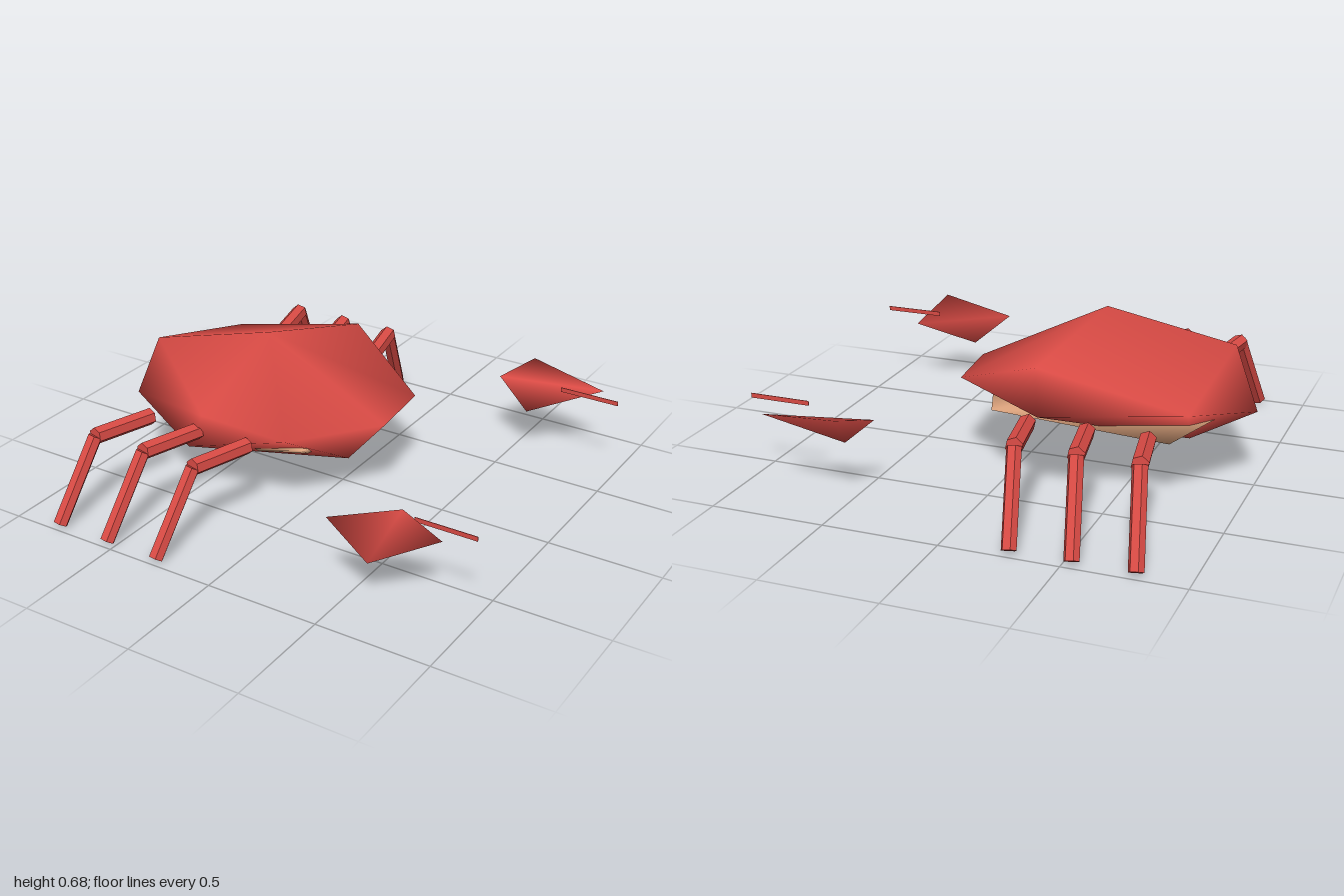
import * as THREE from 'three';
import { mergeVertices } from 'three/addons/utils/BufferGeometryUtils.js';
import { ConvexGeometry } from 'three/addons/geometries/ConvexGeometry.js';

const red = new THREE.MeshStandardMaterial({ color: 0xda4b45 });
red.name = 'shellRed';
const tan = new THREE.MeshStandardMaterial({ color: 0xdba27c });
tan.name = 'bellyTan';

const V = (p) => new THREE.Vector3(...p);

// Smooth-shaded convex lump around a few corner points
function lump(name, points, material) {
  let geo = new ConvexGeometry(points.map(V));
  geo.deleteAttribute('normal');
  geo = mergeVertices(geo, 1e-4);
  geo.computeVertexNormals();
  const mesh = new THREE.Mesh(geo, material);
  mesh.name = name;
  return mesh;
}

// Six-sided rod between two points
function rod(name, from, to, radius) {
  const a = V(from), b = V(to), dir = b.clone().sub(a);
  const geo = new THREE.CylinderGeometry(radius, radius, dir.length(), 6).toNonIndexed();
  geo.computeVertexNormals();
  const mesh = new THREE.Mesh(geo, red);
  mesh.name = name;
  mesh.position.copy(a).add(b).multiplyScalar(0.5);
  mesh.quaternion.setFromUnitVectors(new THREE.Vector3(0, 1, 0), dir.normalize());
  return mesh;
}

export function createModel() {
  const crab = new THREE.Group();
  crab.name = 'crab';

  // Faceted shell
  crab.add(lump('shell', [
    [-0.31, 0.68, 0.1], [-0.86, 0.55, 0.17], [-0.18, 0.555, -0.42],
    [-1, 0.33, 0], [-0.81, 0.42, -0.38], [-0.23, 0.39, -0.53],
    [0.24, 0.39, -0.21], [0.27, 0.39, 0.1], [0, 0.39, 0.45],
    [-0.36, 0.45, 0.53], [-0.82, 0.38, 0.38], [-0.5, 0.23, 0.45],
    [0.09, 0.18, 0.1], [-0.7, 0.145, 0.06],
  ], red));

  // Belly, breaking through the underside in patches
  crab.add(lump('belly', [
    [-0.72, 0.27, -0.33], [0.05, 0.31, -0.33], [0.13, 0.3, -0.12],
    [-0.6, 0.17, -0.05], [-0.25, 0.235, -0.15], [-0.19, 0.26, 0.37],
    [0, 0.26, 0.28], [0.02, 0.31, 0.35], [-0.84, 0.25, 0.15],
    [-0.88, 0.34, -0.12], [-0.4, 0.4, 0],
  ], tan));

  // Three jointed legs on each side
  for (const side of [1, -1]) {
    for (let i = 0; i < 3; i++) {
      const x = i * 0.253;
      const leg = new THREE.Group();
      leg.name = (side > 0 ? 'frontLeg' : 'backLeg') + (i + 1);
      const knee = [-0.735 + x, 0.36, 0.775 * side];
      leg.add(rod('upperLeg', [-0.675 + x, 0.342, 0.482 * side], knee, 0.037));
      leg.add(rod('lowerLeg', knee, [-0.79 + x, 0.017, 0.972 * side], 0.032));
      crab.add(leg);
    }
  }

  // Detached wedge claws
  crab.add(lump('frontClaw', [
    [0.42, 0.345, 0.795], [0.72, 0.44, 0.73], [0.85, 0.3, 0.652], [0.6, 0.19, 0.785],
  ], red));
  crab.add(lump('backClaw', [
    [0.51, 0.385, -0.845], [0.42, 0.34, -0.675], [0.57, 0.21, -0.653], [0.88, 0.34, -0.78],
  ], red));

  // Thin upright strips beside the claws
  for (const side of [1, -1]) {
    const strip = new THREE.Mesh(new THREE.BoxGeometry(0.27, 0.02, 0.003), red);
    strip.name = side > 0 ? 'frontPincerStrip' : 'backPincerStrip';
    strip.position.set(0.865, 0.362, 0.655 * side);
    crab.add(strip);
  }

  return crab;
}
